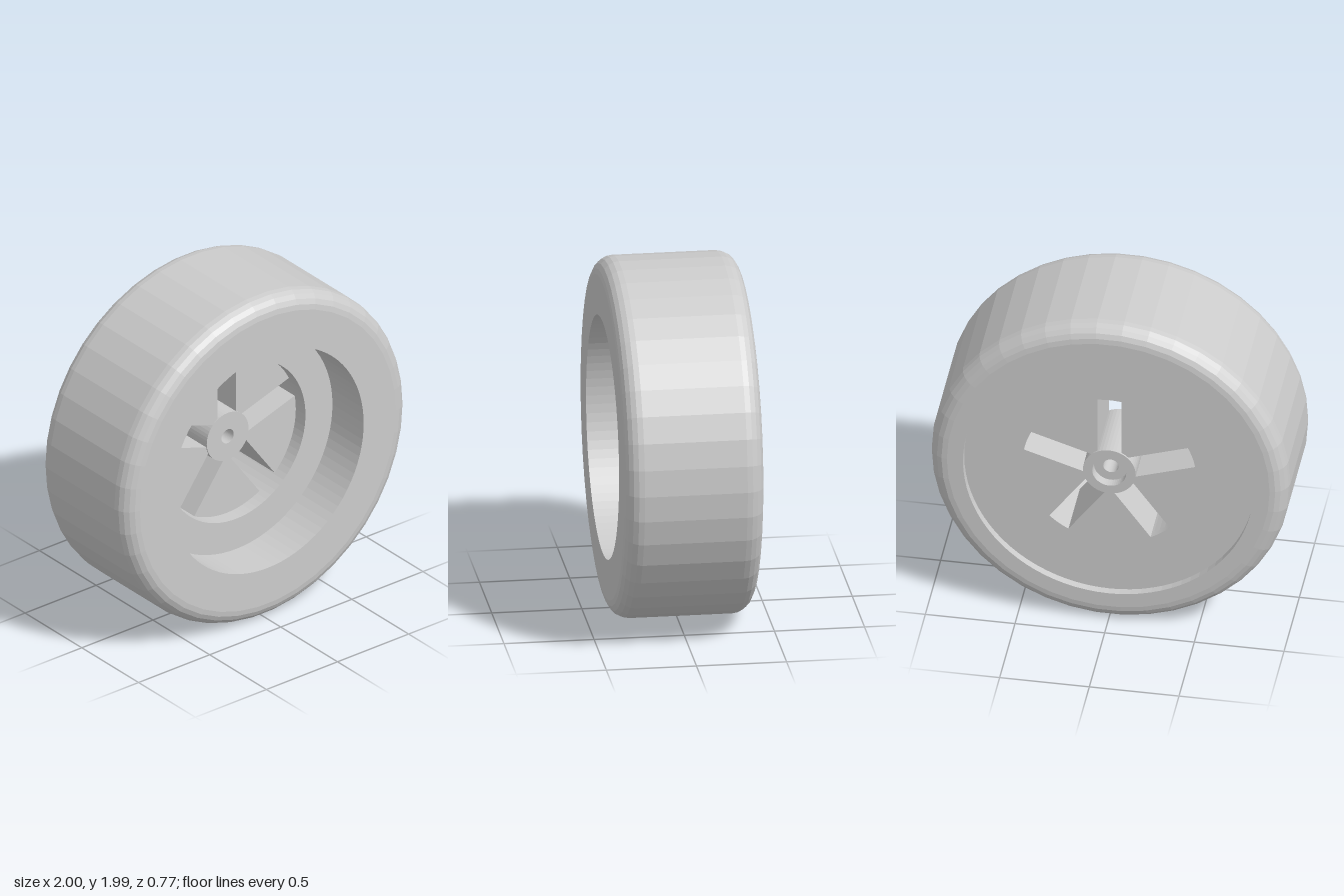
import * as THREE from 'three';

const BORE = 0.485;      // radius of the inner bore and slot ends
const HUB = 0.147;       // hub radius
const SLOT_HALF = 0.066; // half width of a slot
const BACK = -0.34, FACE = 0.025; // disc back and front planes

// Turns a (radius, z) profile around the z axis.
function turned(name, profile, sides, material) {
  const points = profile.map(([r, z]) => new THREE.Vector2(r, z));
  const geometry = new THREE.LatheGeometry(points, sides, Math.PI / 2).rotateX(Math.PI / 2);
  const mesh = new THREE.Mesh(geometry, material);
  mesh.name = name;
  return mesh;
}

// Quarter-round corner of the tyre.
function corner(r, z, radius, from, to, steps = 5) {
  return Array.from({ length: steps + 1 }, (_, i) => {
    const a = from + (to - from) * i / steps;
    return [r + radius * Math.cos(a), z + radius * Math.sin(a)];
  });
}

// Straight-sided slot with arced ends, pointing along the given angle.
function slot(angle) {
  const path = new THREE.Path();
  const inner = Math.asin(SLOT_HALF / 0.14), outer = Math.asin(SLOT_HALF / BORE);
  path.absarc(0, 0, BORE, angle - outer, angle + outer, false);
  path.absarc(0, 0, 0.14, angle + inner, angle - inner, true);
  path.closePath();
  return path;
}

export function createModel() {
  const group = new THREE.Group();
  group.name = 'wheel';
  const grey = new THREE.MeshStandardMaterial({ color: 0xcccccc, flatShading: true });

  // Faceted tread with rounded shoulders
  group.add(turned('tyreTread', [
    [0.85, -0.385],
    ...corner(0.9, -0.285, 0.1, -Math.PI / 2, 0),
    ...corner(0.9, 0.285, 0.1, 0, Math.PI / 2),
    [0.85, 0.385],
  ], 42, grey));

  // Front sidewall, deep recess, step ring and bore
  group.add(turned('frontRim', [
    [0.86, 0.385], [0.675, 0.385], [0.675, 0.11], [BORE, 0.11], [BORE, -0.3],
  ], 84, grey));

  // Back sidewall and its shallow recess
  group.add(turned('backRim', [
    [0.495, BACK], [0.81, BACK], [0.81, -0.385], [0.86, -0.385],
  ], 84, grey));

  // Thick disc pierced by five slots
  const shape = new THREE.Shape().absarc(0, 0, 0.5, 0, Math.PI * 2, false);
  shape.holes.push(new THREE.Path().absarc(0, 0, 0.12, 0, Math.PI * 2, true));
  for (let i = 0; i < 5; i++) shape.holes.push(slot(Math.PI / 2 + i * Math.PI * 2 / 5));
  const discGeometry = new THREE.ExtrudeGeometry(shape, {
    depth: FACE - BACK, bevelEnabled: false, curveSegments: 42,
  }).translate(0, 0, BACK);
  const disc = new THREE.Mesh(discGeometry, grey);
  disc.name = 'spokeDisc';
  group.add(disc);

  // Hub with axle hole and counterbore at the back
  group.add(turned('hub', [
    [0.043, -0.295], [0.095, -0.295], [0.095, -0.35], [HUB, -0.35],
    [HUB, 0.032], [0.043, 0.032], [0.043, -0.295],
  ], 48, grey));

  group.position.y = Math.cos(Math.PI / 42);
  return group;
}
